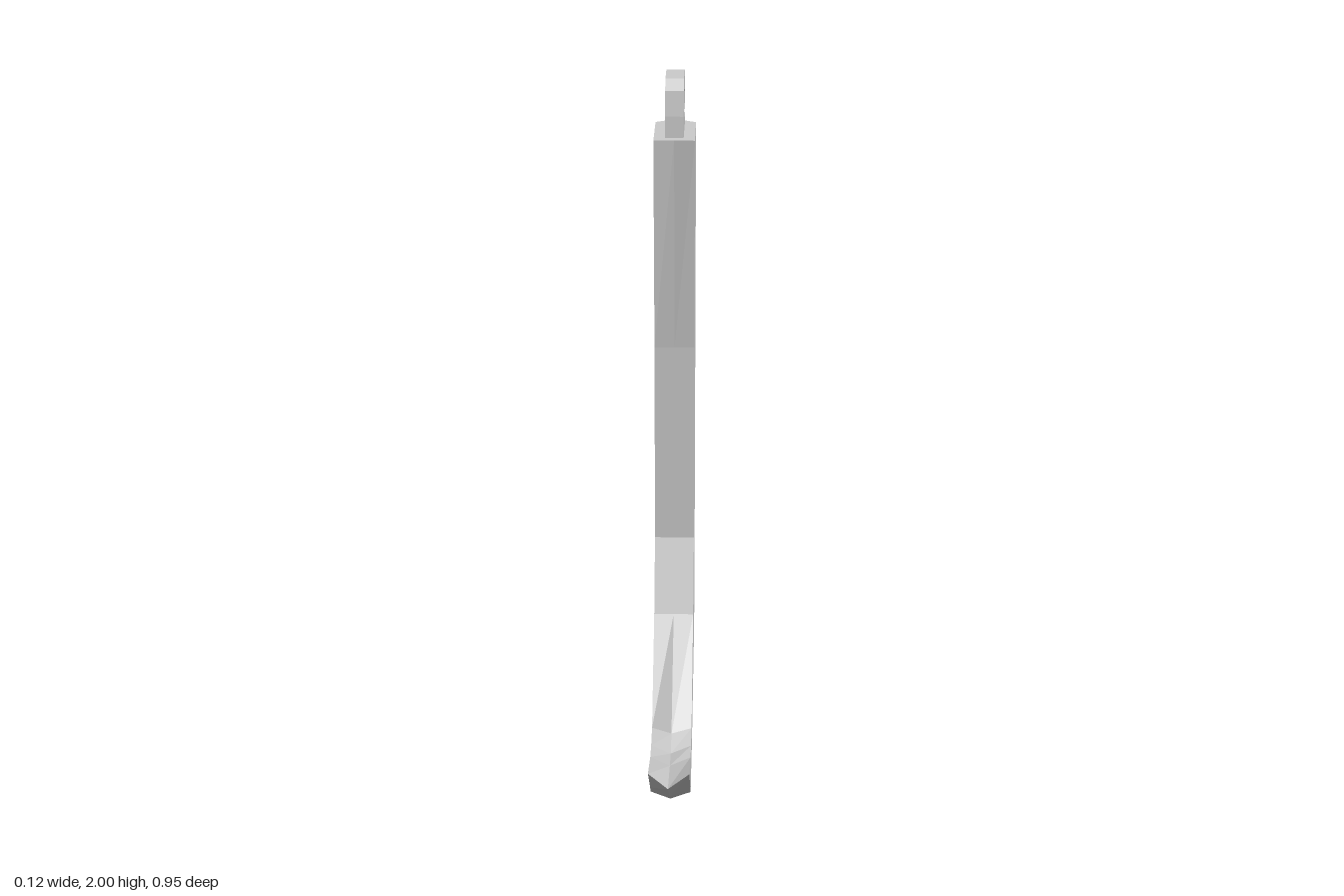
import * as THREE from 'three';

const HALF_WIDTH = 0.058;

// Each station: [z, y] of inner edge, inner ridge, outer edge, outer ridge
const stations = [
  [[-0.235, 1.84], [-0.24, 1.84], [-0.44, 1.84], [-0.476, 1.84]],
  [[-0.29, 1.21], [-0.29, 1.21], [-0.44, 1.21], [-0.476, 1.21]],
  [[-0.29, 0.61], [-0.29, 0.61], [-0.44, 0.64], [-0.476, 0.64]],
  [[-0.2, 0.4], [-0.2, 0.4], [-0.41, 0.27], [-0.44, 0.27]],
  [[0.03, 0.14], [0.065, 0.14], [-0.06, 0.05], [-0.065, 0.04]],
  [[0.11, 0.125], [0.15, 0.12], [0.16, 0], [0.2, 0]],
  [[0.19, 0.13], [0.25, 0.135], [0.21, 0.041], [0.255, 0.038]],
  [[0.39, 0.185], [0.476, 0.185], [0.39, 0.185], [0.476, 0.185]],
];

// Loft a six-sided section with a ridge front and back along the stations
function hookGeometry() {
  const w = HALF_WIDTH;
  const positions = [];
  const index = [];
  for (const [ie, ir, oe, or] of stations) {
    const ring = [[-w, ie], [0, ir], [w, ie], [w, oe], [0, or], [-w, oe]];
    for (const [x, [z, y]] of ring) positions.push(x, y, z);
  }
  for (let s = 0; s < stations.length - 1; s++) {
    for (let i = 0; i < 6; i++) {
      const a = s * 6 + i, b = s * 6 + (i + 1) % 6;
      index.push(a, a + 6, b, b, a + 6, b + 6);
    }
  }
  // flat top cap
  for (let i = 1; i < 5; i++) index.push(0, i, i + 1);

  const geometry = new THREE.BufferGeometry();
  geometry.setAttribute('position', new THREE.Float32BufferAttribute(positions, 3));
  geometry.setIndex(index);
  const flat = geometry.toNonIndexed();
  flat.computeVertexNormals();
  return flat;
}

// Angular eyelet with an octagonal hole, drawn in (z, y)
function eyeletGeometry() {
  const outline = [
    [-0.435, 1.835], [-0.264, 1.835], [-0.267, 1.9], [-0.278, 1.97], [-0.304, 2],
    [-0.41, 2], [-0.436, 1.97], [-0.436, 1.92], [-0.408, 1.883],
  ];
  const shape = new THREE.Shape(outline.map(([z, y]) => new THREE.Vector2(z, y)));
  const hole = [];
  for (let i = 0; i < 8; i++) {
    const t = -(i + 0.5) * Math.PI / 4;
    hole.push(new THREE.Vector2(-0.355 + 0.045 * Math.cos(t), 1.924 + 0.045 * Math.sin(t)));
  }
  shape.holes.push(new THREE.Path(hole));
  const geometry = new THREE.ExtrudeGeometry(shape, { depth: 0.052, bevelEnabled: false });
  geometry.translate(0, 0, -0.026);
  geometry.rotateY(-Math.PI / 2);
  return geometry;
}

export function createModel() {
  const group = new THREE.Group();
  const material = new THREE.MeshStandardMaterial({ color: 0xcccccc, flatShading: true });
  const addPart = (name, geometry) => {
    const mesh = new THREE.Mesh(geometry, material);
    mesh.name = name;
    group.add(mesh);
  };
  addPart('hookShank', hookGeometry());
  addPart('eyelet', eyeletGeometry());
  return group;
}
